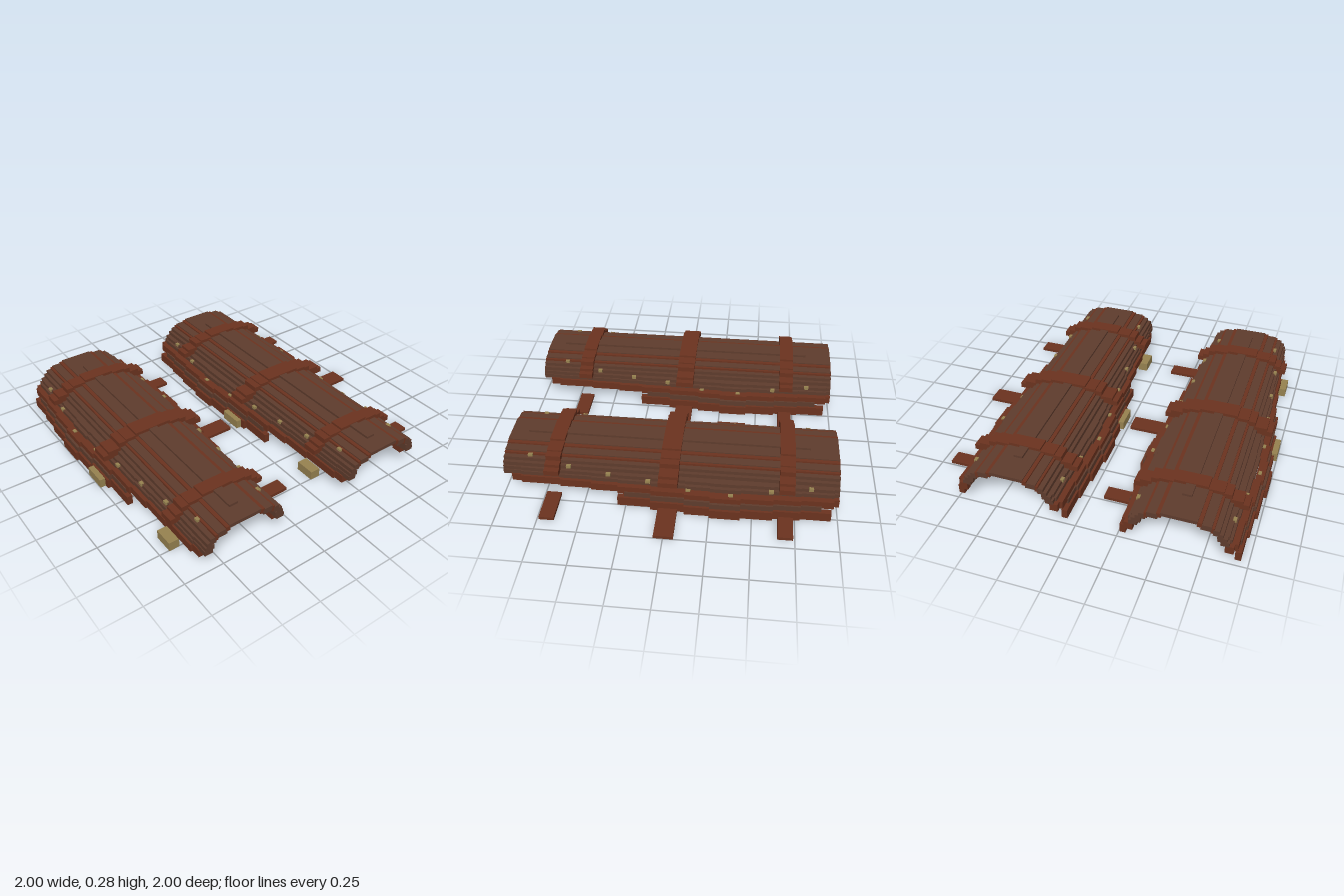
import * as THREE from 'three';

const mat = (name, color) => {
  const m = new THREE.MeshStandardMaterial({ color });
  m.name = name;
  return m;
};

export function createModel() {
  const brown = mat('darkLeather', 0x5f3c2d);
  const red = mat('redLeather', 0x6c331f);
  const tan = mat('brass', 0x978250);

  // Box given by its low and high corners
  const box = (parent, name, m, x0, x1, y0, y1, z0, z1) => {
    const mesh = new THREE.Mesh(new THREE.BoxGeometry(x1 - x0, y1 - y0, z1 - z0), m);
    mesh.position.set((x0 + x1) / 2, (y0 + y1) / 2, (z0 + z1) / 2);
    mesh.name = name;
    parent.add(mesh);
  };
  // The same box on both sides of the guard
  const pair = (parent, name, m, x0, x1, ...yz) => {
    box(parent, name, m, x0, x1, ...yz);
    box(parent, name, m, -x1, -x0, ...yz);
  };

  // Half width of the calf, stepped along z: [start z, half width]
  const calf = [
    [-1, 0.325], [-0.97, 0.35], [-0.78, 0.362], [-0.62, 0.378], [-0.43, 0.395],
    [-0.25, 0.378], [-0.1, 0.36], [0.1, 0.338], [0.3, 0.32], [0.46, 0.303],
    [0.65, 0.288], [0.89, 0.27], [1, 0.27],
  ];
  const bulge = (w, inset, keep) => 0.27 + (w - 0.27) * keep - inset;

  // Constant staves of the arch crown: inner x, outer x, bottom y, top y, material
  const crown = [
    [0.1, 0.127, 0.225, 0.255, red],
    [0.12, 0.182, 0.21, 0.245, brown],
    [0.178, 0.197, 0.2, 0.238, red],
    [0.19, 0.227, 0.187, 0.225, brown],
    [0.215, 0.248, 0.165, 0.203, brown],
  ];
  // Side staves: y range, z range, inset, share of the bulge, thickness, material
  const sides = [
    [0.15, 0.178, -1, 1, 0.012, 0.25, 0.055, brown],
    [0.125, 0.155, -1, 1, 0.006, 0.38, 0.05, brown],
    [0.08, 0.13, -1, 0.95, 0, 0.75, 0.05, red],
    [0.055, 0.095, -0.9, 0.26, 0.006, 0.92, 0.035, brown],
    [0, 0.06, -0.96, 0.3, 0, 1, 0.035, red],
  ];
  // Straps: z range, centre half width, flap reach, tail reach, buckle x range and z range
  const straps = [
    [-0.74, -0.65, 0.1, 0.335, 0.36, 0.525, -0.355, -0.27, -0.77, -0.65],
    [-0.06, 0.055, 0.12, 0.345, 0.35, 0.585, -0.395, -0.29, -0.08, 0.07],
    [0.65, 0.74, 0.1, 0.31, 0.285, 0.505, -0.335, -0.27, 0.63, 0.755],
  ];
  // Rivets: x, y, z
  const rivets = [
    [0.278, 0.174, -0.835], [0.3, 0.152, -0.605], [0.333, 0.127, -0.37], [0.313, 0.128, -0.12],
    [0.29, 0.16, 0.12], [0.268, 0.174, 0.36], [0.25, 0.2, 0.6], [0.203, 0.23, 0.84],
  ];

  const guard = (x) => {
    const g = new THREE.Group();
    g.position.x = x;

    // Crown plate on a red lining, with a raised ridge
    box(g, 'crownLining', red, -0.112, 0.112, 0.23, 0.242, -0.99, 0.99);
    box(g, 'crownPlate', brown, -0.104, 0.104, 0.24, 0.262, -1, 1);
    box(g, 'ridge', brown, -0.028, 0.028, 0.258, 0.276, -0.83, 0.89);
    for (const [x0, x1, y0, y1, m] of crown) pair(g, 'crownStave', m, x0, x1, y0, y1, -1, 1);

    // Tapering side staves, cut where the calf width steps
    for (const [y0, y1, z0, z1, inset, keep, t, m] of sides) {
      for (let i = 0; i < calf.length - 1; i++) {
        const a = Math.max(z0, calf[i][0]), b = Math.min(z1, calf[i + 1][0]);
        if (b <= a) continue;
        const w = bulge(calf[i][1], inset, keep);
        pair(g, 'sideStave', m, w - t, w, y0, y1, a, b);
      }
    }

    // Straps stepping over the arch, loose tails and buckles on the ground
    for (const [z0, z1, c, flap, t0, t1, b0, b1, bz0, bz1] of straps) {
      box(g, 'strapTop', red, -c, c, 0.255, 0.28, z0, z1);
      pair(g, 'strapShoulder', red, c - 0.01, 0.19, 0.238, 0.266, z0, z1);
      pair(g, 'strapShoulder', red, 0.18, 0.235, 0.22, 0.257, z0, z1);
      pair(g, 'strapSide', red, 0.225, flap - 0.035, 0.196, 0.224, z0, z1);
      pair(g, 'strapFlap', red, 0.25, flap, 0.17, 0.204, z0, z1);
      box(g, 'strapTail', red, t0, t1, 0, 0.019, z0, z1);
      box(g, 'buckle', tan, b0, b1, 0.001, 0.058, bz0, bz1);
    }

    for (const [rx, ry, rz] of rivets) {
      pair(g, 'rivet', tan, rx - 0.01, rx + 0.01, ry - 0.008, ry + 0.01, rz - 0.014, rz + 0.014);
    }
    return g;
  };

  const model = new THREE.Group();
  model.name = 'legGuards';
  const right = guard(-0.605), left = guard(0.415);
  right.name = 'rightGuard';
  left.name = 'leftGuard';
  model.add(right, left);
  return model;
}
